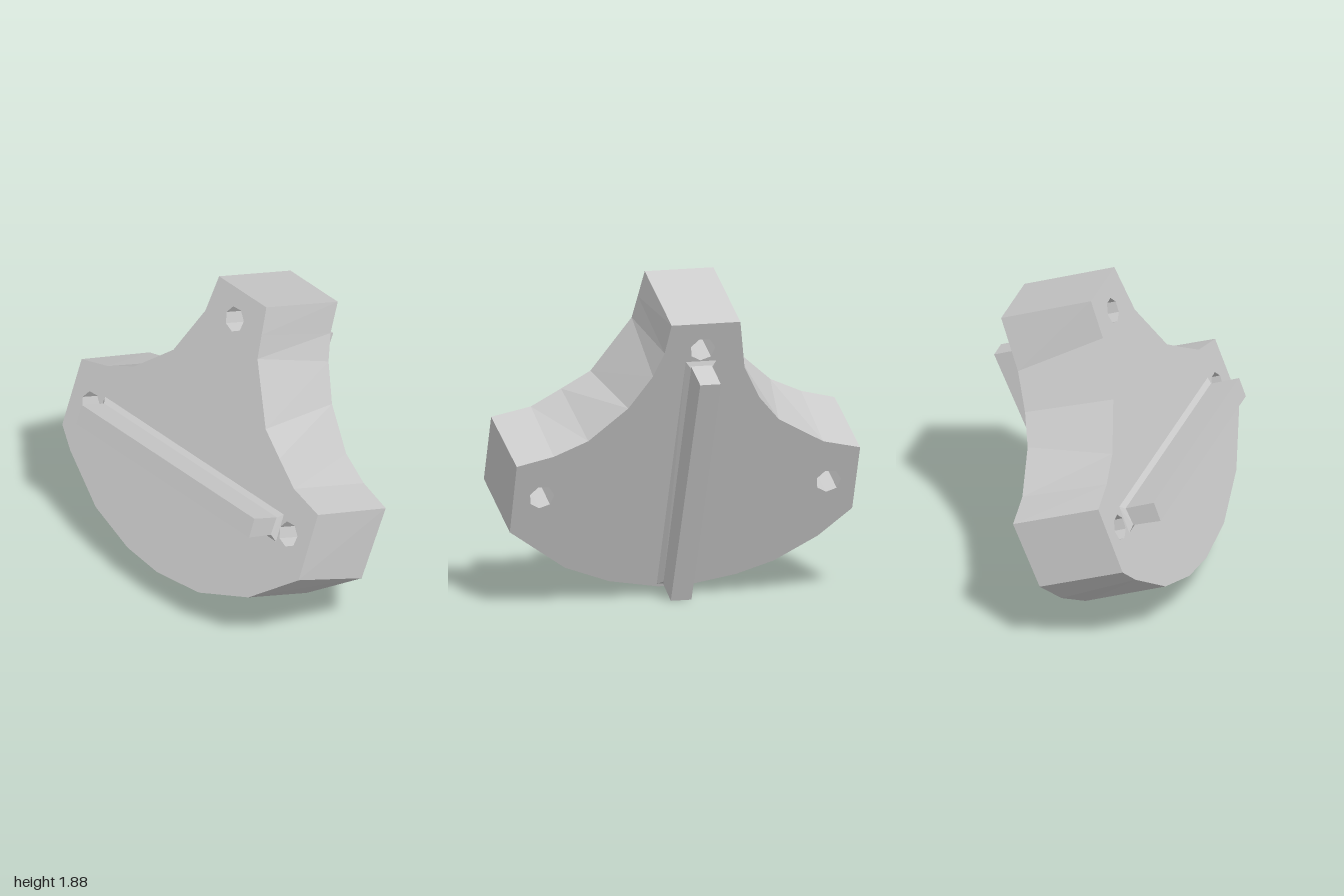
import * as THREE from 'three';
import { ConvexGeometry } from 'three/addons/geometries/ConvexGeometry.js';

const material = new THREE.MeshStandardMaterial({ color: 0xcccccc, flatShading: true });

// Leaning planes of the plate's two faces
const frontZ = (y) => 0.711 - 0.378 * y;
const backZ = (y) => 0.171 - 0.42 * y;
const backY = (y) => 0.049 + (y - 0.24) * 0.988;

// Outline, clockwise from the top: front x, front y, back x, back y
const outline = [
  [0.2, 1.88, 0.2, 1.67], [0.224, 1.73, 0.22, 1.5], [0.245, 1.6, 0.27, 1.36],
  [0.45, 1.285, 0.39, 1.17], [0.61, 1.185, 0.6, 0.98], [0.775, 1.085, 0.79, 0.895],
  [1, 1.035, 1, 0.845], [1, 0.655, 0.99, 0.44], [0.68, 0.41, 0.64, 0.2],
  [0.32, 0.275, 0.37, 0.1], [0.15, 0.257, 0.08, 0.05], [-0.02, 0.24, -0.1, 0.05],
  [-0.28, 0.265, -0.37, 0.1], [-0.59, 0.36, -0.58, 0.17], [-0.89, 0.555, -0.82, 0.31],
  [-1, 0.655, -1, 0.47], [-1, 1.035, -1, 0.845], [-0.8, 1.085, -0.78, 0.895],
  [-0.61, 1.17, -0.5, 1.05], [-0.37, 1.375, -0.37, 1.193], [-0.225, 1.67, -0.26, 1.383],
  [-0.2, 1.88, -0.2, 1.67],
];

// Plate with three through holes, extruded and then leaned onto its two planes
function plateGeometry() {
  const shape = new THREE.Shape(outline.map(([x, y]) => new THREE.Vector2(x, y)));
  for (const [cx, cy] of [[0, 1.72], [0.83, 0.845], [-0.84, 0.845]]) {
    const ring = [];
    for (let i = 0; i < 7; i++) {
      const a = (i / 7) * Math.PI * 2 + 0.3;
      ring.push(new THREE.Vector2(cx + 0.073 * Math.cos(a), cy + 0.068 * Math.sin(a)));
    }
    shape.holes.push(new THREE.Path(ring));
  }
  const geometry = new THREE.ExtrudeGeometry(shape, { depth: 1, bevelEnabled: false });
  const p = geometry.attributes.position;
  for (let i = 0; i < p.count; i++) {
    const x = p.getX(i), y = p.getY(i);
    if (p.getZ(i) > 0.5) {
      p.setZ(i, frontZ(y));
    } else {
      const o = outline.find((q) => Math.abs(q[0] - x) < 1e-4 && Math.abs(q[1] - y) < 1e-4);
      const by = o ? o[3] : backY(y);
      p.setXYZ(i, o ? o[2] : x, by, backZ(by));
    }
  }
  geometry.computeVertexNormals();
  return geometry;
}

// Solid mirrored in x, from rows of half width, y, z
function block(rows) {
  return new ConvexGeometry(rows.flatMap(([w, y, z]) =>
    [new THREE.Vector3(w, y, z), new THREE.Vector3(-w, y, z)]));
}

export function createModel() {
  const group = new THREE.Group();
  const add = (name, geometry) => {
    const mesh = new THREE.Mesh(geometry, material);
    mesh.name = name;
    group.add(mesh);
  };

  add('plate', plateGeometry());

  // Horizontal rail on the front, with a flared root
  add('frontRail', block([
    [0.73, 0.975, 0.555], [0.73, 0.865, 0.595], [0.73, 0.883, 0.33], [0.73, 0.786, 0.37],
  ]));
  add('frontRailRoot', block([
    [0.73, 0.905, 0.39], [0.73, 0.81, 0.433], [0.76, 0.93, 0.357], [0.76, 0.768, 0.419],
  ]));

  // Upright rail on the back, with a flared root
  add('backRail', block([
    [0.06, 1.34, -0.62], [0.06, 0.003, -0.04], [0.06, 1.42, -0.42], [0.06, 0.07, 0.11],
  ]));
  add('backRailRoot', block([
    [0.06, 1.4, -0.44], [0.06, 0.085, 0.105], [0.09, 1.44, -0.433], [0.09, 0.065, 0.146],
  ]));

  return group;
}
